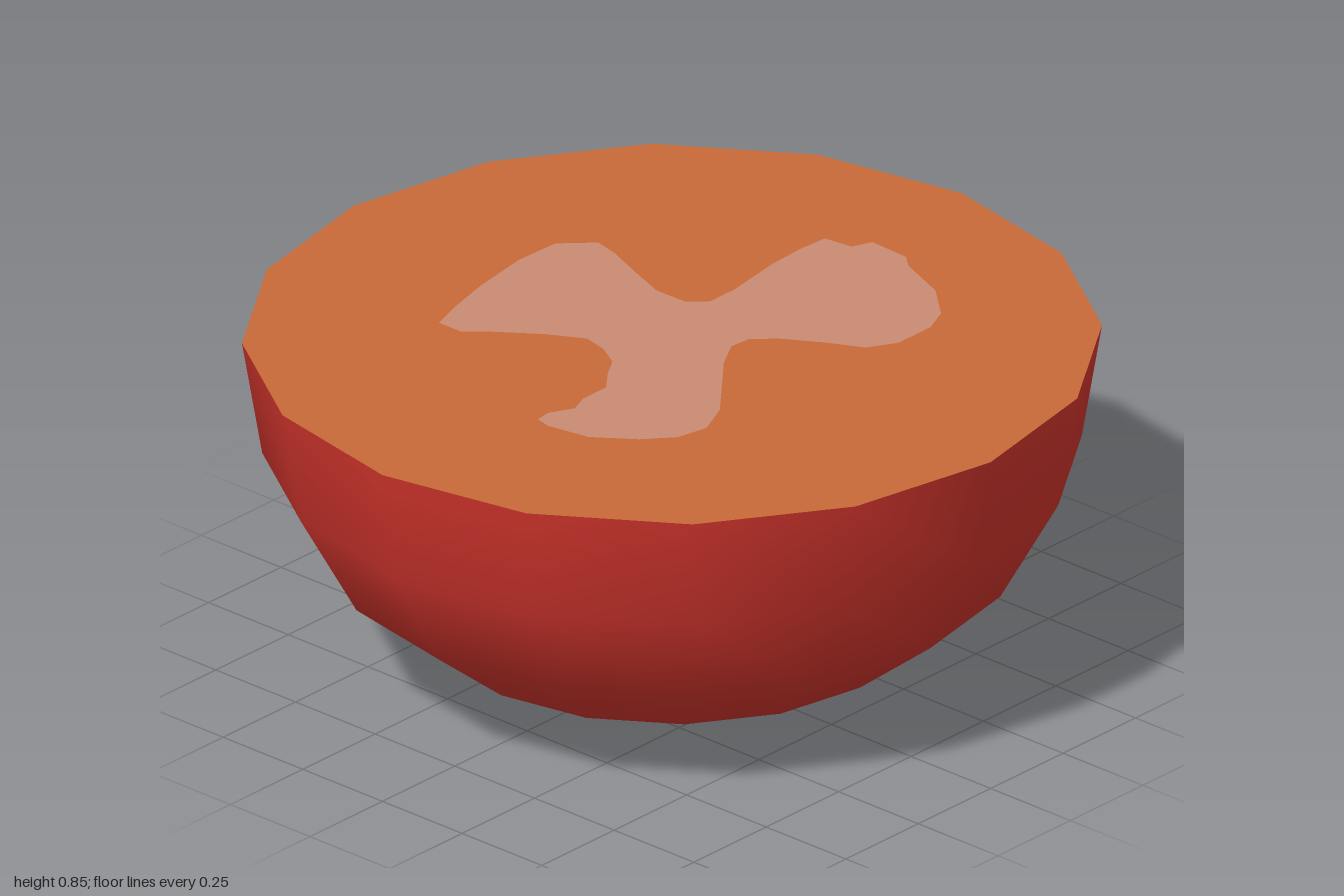
import * as THREE from 'three';

const SIDES = 16;
const TOP = 0.845;

// Skin profile from the bottom pole to the rim: radius, height
const skinProfile = [[0, 0], [0.31, 0.03], [0.59, 0.125], [0.81, 0.3], [0.953, 0.56], [1, TOP]];

// Outline of the three-lobed core on the cut face: x, z
const coreOutline = [
  // back lobe
  [-0.075, -0.61], [0, -0.62], [0.02, -0.67], [0.13, -0.665], [0.165, -0.635], [0.3, -0.58],
  [0.39, -0.5], [0.42, -0.43], [0.42, -0.32], [0.38, -0.25], [0.3, -0.21], [0.2, -0.15],
  [0.15, -0.1], [0.145, -0.045], [0.19, 0.03],
  // front lobe
  [0.27, 0.125], [0.35, 0.22], [0.39, 0.31], [0.375, 0.39], [0.315, 0.46], [0.22, 0.53],
  [0.11, 0.55], [0.07, 0.54], [0.065, 0.5], [0.095, 0.44], [0.075, 0.39], [0.075, 0.31],
  [0.03, 0.255], [-0.005, 0.2], [-0.065, 0.165], [-0.13, 0.15],
  // right lobe
  [-0.22, 0.2], [-0.315, 0.27], [-0.37, 0.32], [-0.44, 0.32], [-0.47, 0.23], [-0.5, 0.11],
  [-0.525, -0.05], [-0.52, -0.17], [-0.45, -0.24], [-0.385, -0.225], [-0.26, -0.175],
  [-0.18, -0.145], [-0.09, -0.147], [-0.05, -0.185], [-0.05, -0.27], [-0.075, -0.43], [-0.08, -0.53],
];

function material(name, color) {
  const m = new THREE.MeshStandardMaterial({ color });
  m.name = name;
  return m;
}

export function createModel() {
  const group = new THREE.Group();
  group.name = 'halvedFruit';

  const add = (name, geometry, mat) => {
    const mesh = new THREE.Mesh(geometry, mat);
    mesh.name = name;
    group.add(mesh);
  };
  // Lay a flat shape on the cut face, facing up
  const onCut = (shape) => new THREE.ShapeGeometry(shape).rotateX(-Math.PI / 2).translate(0, TOP, 0);

  // Smooth rounded skin
  const profile = skinProfile.map(([r, y]) => new THREE.Vector2(r, y));
  add('skin', new THREE.LatheGeometry(profile, SIDES), material('red skin', 0xd0342c));

  // Flat cut face with the core let into it
  const corePoints = coreOutline.map(([x, z]) => new THREE.Vector2(x, -z));
  const rim = [];
  for (let i = 0; i < SIDES; i++) {
    const a = (i / SIDES) * Math.PI * 2;
    rim.push(new THREE.Vector2(Math.cos(a), Math.sin(a)));
  }
  const fleshShape = new THREE.Shape(rim);
  fleshShape.holes.push(new THREE.Path(corePoints));
  add('flesh', onCut(fleshShape), material('orange flesh', 0xc86a38));
  add('core', onCut(new THREE.Shape(corePoints)), material('pale core', 0xca8b72));

  return group;
}
